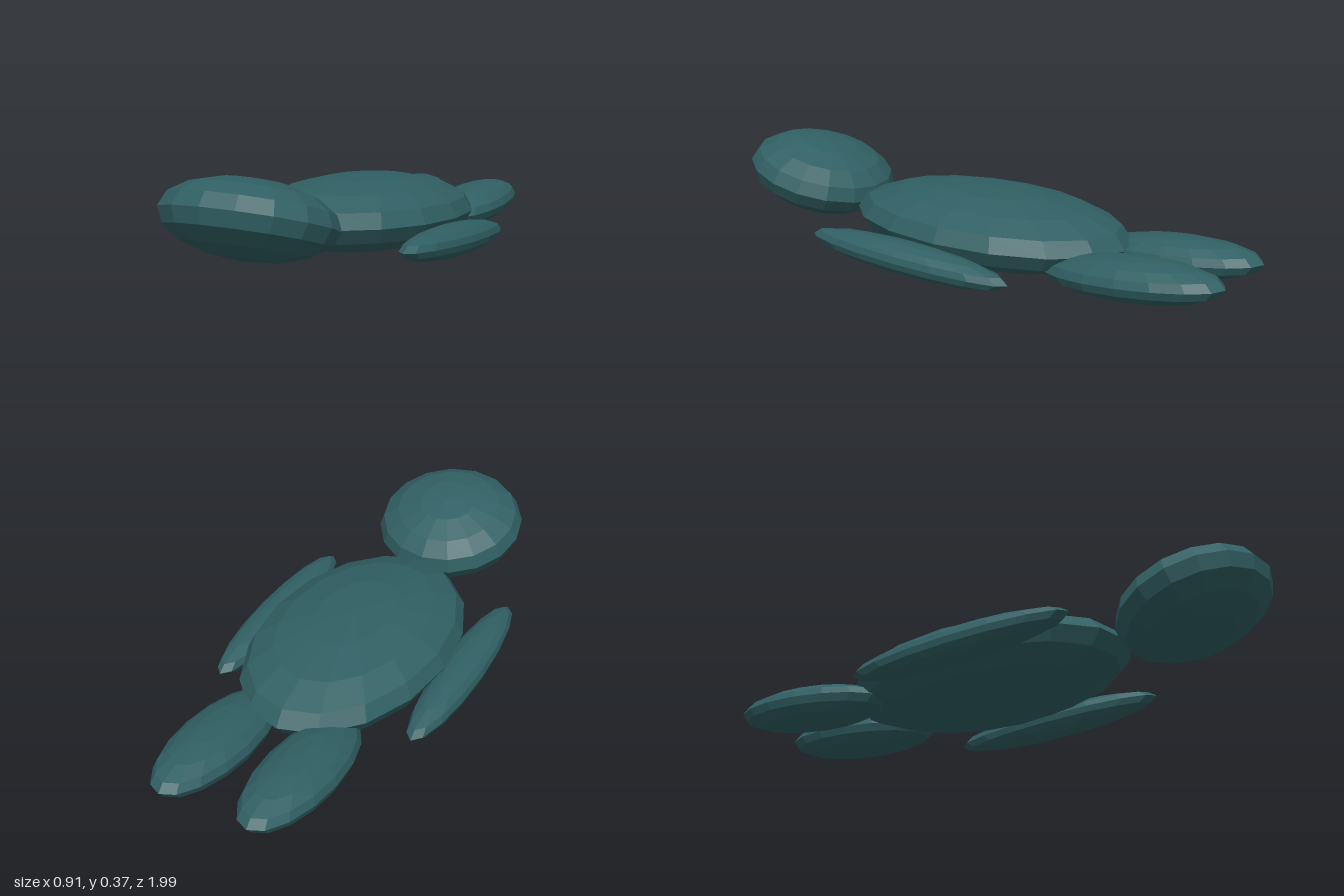
import * as THREE from 'three';

export function createModel() {
  const model = new THREE.Group();
  model.name = 'lyingFigure';

  const teal = new THREE.MeshStandardMaterial({ color: 0x305f63, flatShading: true });
  teal.name = 'dark teal';

  // All parts are the same faceted ball, stretched and pitched (positive pitch lifts the front)
  const ball = new THREE.SphereGeometry(1, 16, 8);
  function part(name, position, radii, pitch) {
    const mesh = new THREE.Mesh(ball, teal);
    mesh.name = name;
    mesh.position.set(...position);
    mesh.scale.set(...radii);
    mesh.rotation.x = -THREE.MathUtils.degToRad(pitch);
    model.add(mesh);
  }

  part('body', [0, 0.14, -0.045], [0.35, 0.133, 0.535], 2.5);
  part('head', [0, 0.235, 0.733], [0.285, 0.127, 0.275], 17.5);

  // Mirrored limbs
  for (const [side, s] of [['left', 1], ['right', -1]]) {
    part(side + 'Arm', [s * 0.378, 0.084, 0.045], [0.079, 0.056, 0.405], 4);
    part(side + 'Leg', [s * 0.16, 0.083, -0.685], [0.13, 0.072, 0.315], -3);
  }
  return model;
}
